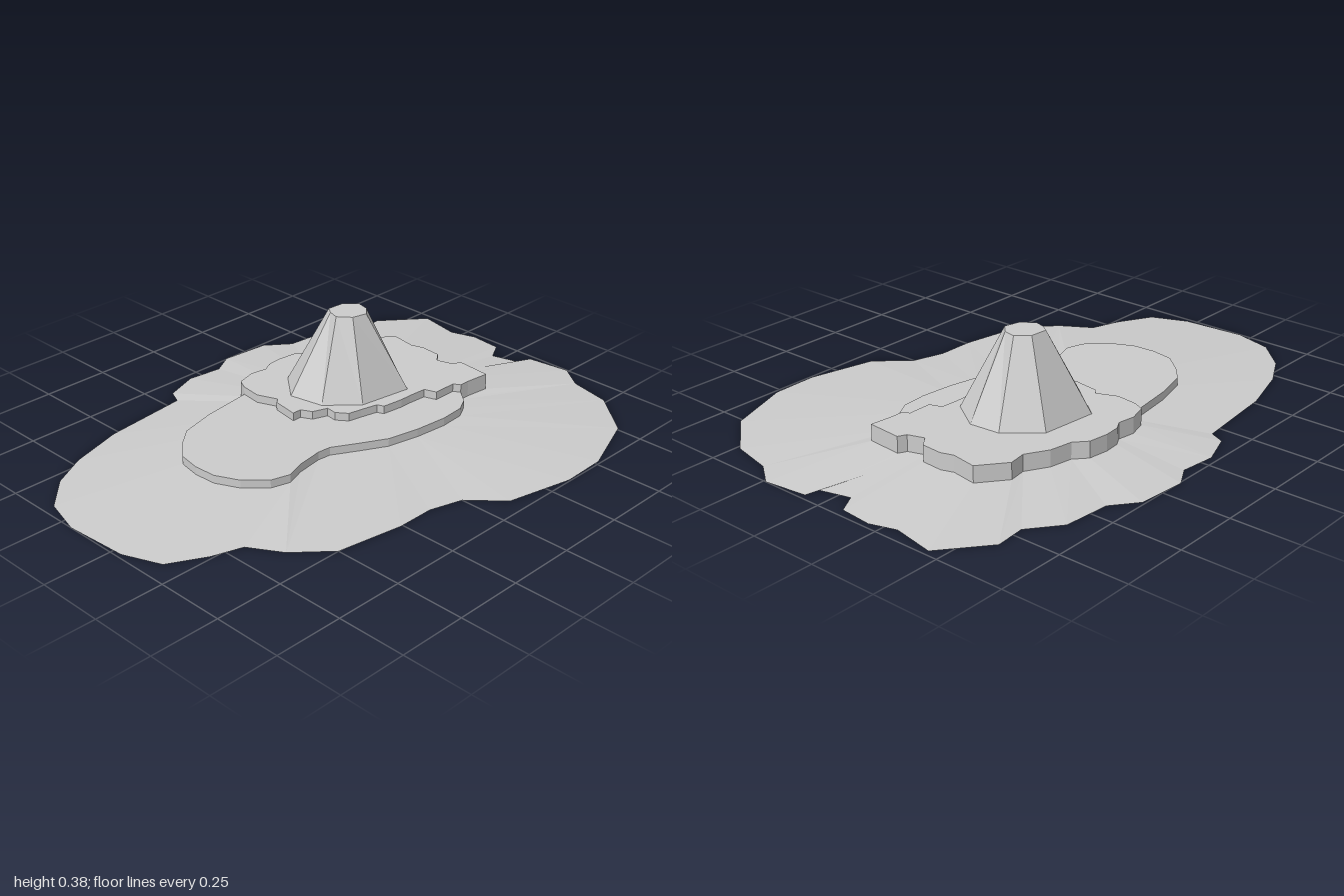
import * as THREE from 'three';

const material = new THREE.MeshStandardMaterial({ color: 0xcccccc, flatShading: true, side: THREE.DoubleSide });

// Outlines are [x, z] points, clockwise seen from above, starting at the left-hand end.
const SHORE = [
  [-1, -.2], [-.96, -.345], [-.85, -.46], [-.72, -.53], [-.52, -.59], [-.2, -.625], [-.175, -.68],
  [-.05, -.725], [.08, -.71], [.16, -.755], [.34, -.74], [.43, -.67], [.6, -.655], [.71, -.57],
  [.82, -.58], [.98, -.45], [.95, -.295], [.98, -.2], [.97, -.08], [.9, -.04], [.93, .07], [.98, .08],
  [1, .24], [.935, .33], [.9, .485], [.76, .65], [.52, .74], [.35, .745], [.105, .69], [0, .575],
  [-.12, .54], [-.26, .54], [-.5, .5], [-.62, .39], [-.69, .275], [-.8, .24], [-.93, .17], [-.985, .035],
];
// Edge where both terraces rise as one cliff (back and +x side)
const CLIFF = [
  [-.07, -.4], [-.05, -.44], [.02, -.46], [.085, -.45], [.12, -.47], [.18, -.475], [.255, -.465],
  [.3, -.425], [.385, -.41], [.465, -.365], [.53, -.375], [.625, -.3], [.61, -.205], [.625, -.16],
  [.62, -.08], [.58, -.05], [.6, .01], [.63, .025], [.62, .155], [.53, .145], [.49, .145],
];
// Free edge of the lower terrace, from the end of the cliff back to its start
const LOWER_FRONT = [
  [.45, .195], [.395, .225], [.3, .232], [.175, .22], [.055, .195], [-.04, .145], [-.13, .095],
  [-.18, .09], [-.28, .105], [-.35, .13], [-.42, .11], [-.49, .04], [-.53, -.045],
];
const LOWER_BACK = [[-.535, -.13], [-.52, -.215], [-.455, -.29], [-.395, -.34], [-.26, -.375]];
// Free edge of the upper terrace, same direction
const UPPER_EDGE = [
  [.475, .12], [.385, .12], [.37, .075], [.3, .07], [.255, .07], [.175, .06], [.165, .035], [.1, .02],
  [.05, .01], [.02, -.03], [.025, -.07], [-.03, -.09], [-.05, -.13], [-.085, -.13], [-.07, -.23],
  [-.05, -.245], [-.08, -.32],
];
const PEAK_BASE = [[0, -.23], [.09, -.34], [.3, -.32], [.4, -.205], [.41, -.09], [.33, .03], [.13, 0], [.025, -.1]];
const PEAK_TOP = [[.155, -.185], [.175, -.213], [.24, -.208], [.28, -.165], [.27, -.12], [.235, -.087], [.18, -.1], [.143, -.145]];

const Y_STEP = .03, Y_LOWER = .06, Y_UPPER = .09, Y_PEAK = .38;

function mesh(name, geometry) {
  const m = new THREE.Mesh(geometry, material);
  m.name = name;
  return m;
}

function fromTriangles(positions) {
  const g = new THREE.BufferGeometry();
  g.setAttribute('position', new THREE.Float32BufferAttribute(positions, 3));
  g.computeVertexNormals();
  return g;
}

// Level surface, optionally with a hole
function level(outline, y, hole) {
  const flat = pts => pts.map(([x, z]) => new THREE.Vector2(x, -z));
  const shape = new THREE.Shape(flat(outline));
  if (hole) shape.holes.push(new THREE.Path(flat(hole)));
  return new THREE.ShapeGeometry(shape).rotateX(-Math.PI / 2).translate(0, y, 0);
}

// Strip between two paths with the same number of points
function wall(low, yLow, high, yHigh, closed = false) {
  const pos = [];
  const count = closed ? low.length : low.length - 1;
  for (let i = 0; i < count; i++) {
    const j = (i + 1) % low.length;
    const at = (path, k, y) => [path[k][0], y, path[k][1]];
    const a = at(low, i, yLow), b = at(low, j, yLow), c = at(high, j, yHigh), d = at(high, i, yHigh);
    pos.push(...a, ...c, ...b, ...a, ...d, ...c);
  }
  return fromTriangles(pos);
}

// Sloping ring between two closed outlines, advanced by angle around the middle
function slope(outer, yOuter, inner, yInner) {
  const pos = [];
  const angle = (path, k) => k < path.length
    ? Math.atan2(path[k][1] + .1, path[k][0] - .1)
    : Math.atan2(path[0][1] + .1, path[0][0] - .1) + Math.PI * 2;
  const at = (path, k, y) => [path[k % path.length][0], y, path[k % path.length][1]];
  let i = 0, j = 0;
  while (i < outer.length || j < inner.length) {
    const o = at(outer, i, yOuter), n = at(inner, j, yInner);
    const stepOuter = j >= inner.length || (i < outer.length && angle(outer, i + 1) <= angle(inner, j + 1));
    if (stepOuter) pos.push(...o, ...n, ...at(outer, ++i, yOuter));
    else pos.push(...o, ...n, ...at(inner, ++j, yInner));
  }
  return fromTriangles(pos);
}

export function createModel() {
  const group = new THREE.Group();
  group.name = 'island';

  const cliffStart = CLIFF[0], cliffEnd = CLIFF[CLIFF.length - 1];
  const lowerEdge = [cliffEnd, ...LOWER_FRONT, ...LOWER_BACK, cliffStart];
  const upperEdge = [cliffEnd, ...UPPER_EDGE, cliffStart];
  const beachInner = [...LOWER_BACK, ...CLIFF, ...LOWER_FRONT];

  group.add(
    // Gently rising beach, open underneath
    mesh('beach', slope(SHORE, 0, beachInner, Y_STEP)),
    // Lower terrace
    mesh('lowerTerraceWall', wall(lowerEdge, Y_STEP, lowerEdge, Y_LOWER)),
    mesh('lowerTerraceTop', level([...lowerEdge, ...UPPER_EDGE.slice().reverse()], Y_LOWER)),
    // Upper terrace, with an opening below the peak
    mesh('cliffWall', wall(CLIFF, Y_STEP, CLIFF, Y_UPPER)),
    mesh('upperTerraceWall', wall(upperEdge, Y_LOWER, upperEdge, Y_UPPER)),
    mesh('upperTerraceTop', level([...CLIFF, ...UPPER_EDGE], Y_UPPER, PEAK_BASE)),
    // Hollow eight-sided peak
    mesh('peakSides', wall(PEAK_BASE, Y_UPPER, PEAK_TOP, Y_PEAK, true)),
    mesh('peakTop', level(PEAK_TOP, Y_PEAK)),
  );
  return group;
}
